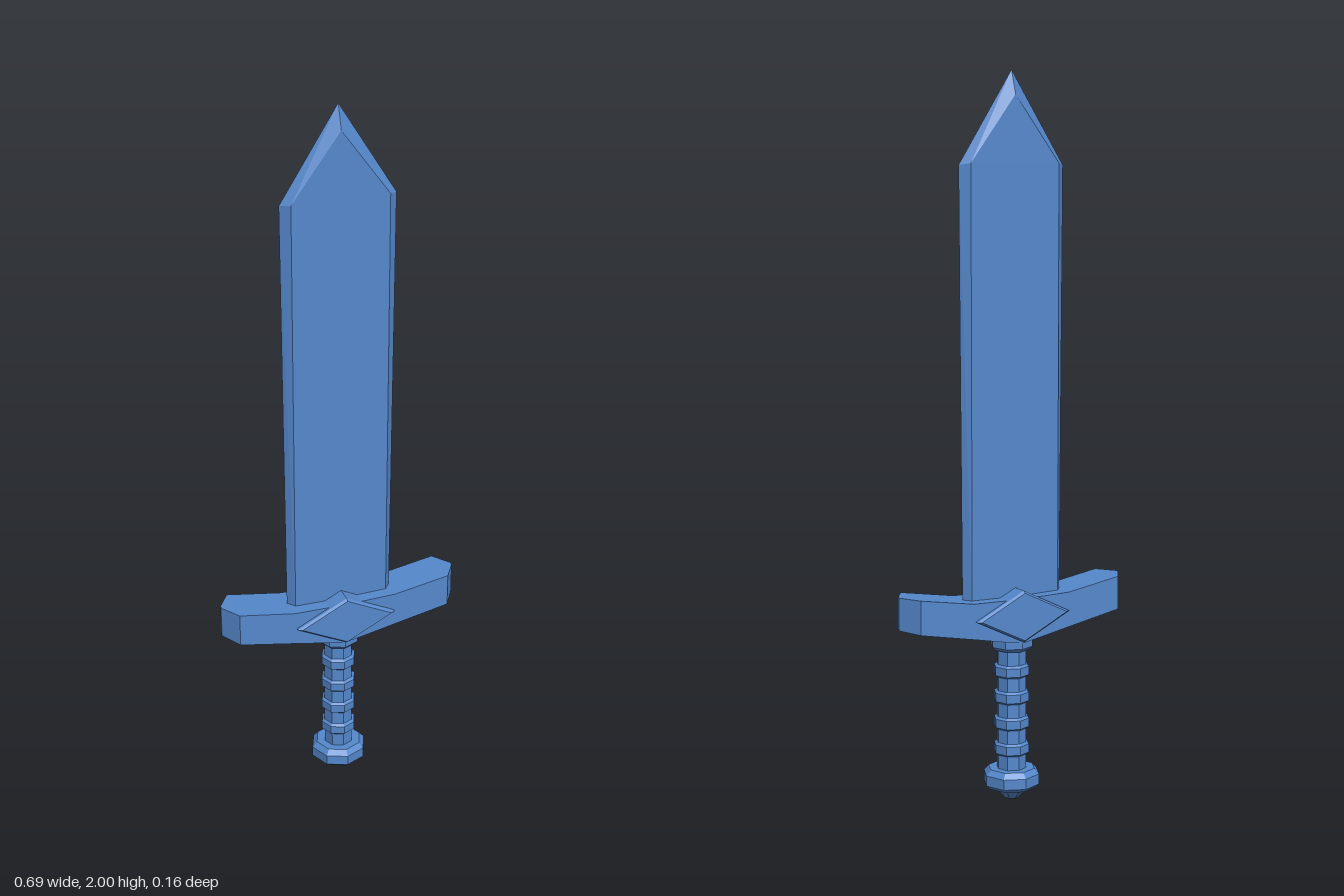
import * as THREE from 'three';

const blue = new THREE.MeshStandardMaterial({ color: 0x5588cc, flatShading: true });

function part(name, geometry) {
  const mesh = new THREE.Mesh(geometry, blue);
  mesh.name = name;
  return mesh;
}

// Closed skin over a list of equal-length rings of [x, y, z] points
function loft(rings) {
  const n = rings[0].length, last = (rings.length - 1) * n, index = [];
  for (let r = 0; r < rings.length - 1; r++) {
    for (let i = 0; i < n; i++) {
      const a = r * n + i, b = r * n + (i + 1) % n;
      index.push(a, a + n, b + n, a, b + n, b);
    }
  }
  for (let i = 1; i < n - 1; i++) {
    index.push(0, i, i + 1, last, last + i + 1, last + i);
  }
  const g = new THREE.BufferGeometry();
  g.setAttribute('position', new THREE.Float32BufferAttribute(rings.flat(2), 3));
  g.setIndex(index);
  g.computeVertexNormals();
  return g;
}

// Eight-sided turned part from [radius, y] pairs, bottom to top
function turned(profile) {
  return new THREE.LatheGeometry(profile.map(([r, y]) => new THREE.Vector2(r, y)), 8);
}

export function createModel() {
  const sword = new THREE.Group();
  sword.name = 'sword';

  // Blade: flat hexagonal section, bevelled edges meeting at the point
  const bladeRing = (edge, face, yEdge, yFace, t = 0.022) => [
    [edge, yEdge, 0], [face, yFace, t], [-face, yFace, t],
    [-edge, yEdge, 0], [-face, yFace, -t], [face, yFace, -t],
  ];
  sword.add(part('blade', loft([
    bladeRing(0.153, 0.135, 0.54, 0.54),
    bladeRing(0.16, 0.135, 1.75, 1.755),
    bladeRing(0, 0, 2, 1.935),
  ])));

  // Crossguard: swept-up arms with wedge-shaped ends; [x, bottom, top, half depth]
  const arm = [[0.06, 0.466, 0.58, 0.06], [0.15, 0.484, 0.582, 0.06],
    [0.31, 0.515, 0.609, 0.06], [0.345, 0.52, 0.61, 0.006]];
  const sections = [
    ...arm.map(([x, ...rest]) => [-x, ...rest]).reverse(),
    [0, 0.455, 0.58, 0.06],
    ...arm,
  ];
  sword.add(part('crossguard', loft(sections.map(([x, lo, hi, d]) =>
    [[x, lo, d], [x, hi, d], [x, hi, -d], [x, lo, -d]]))));

  // Diamond boss through the guard, chamfered front and back
  const diamond = (s, z) => [[0.145 * s, 0.532, z], [0, 0.532 - 0.072 * s, z],
    [-0.145 * s, 0.532, z], [0, 0.532 + 0.072 * s, z]];
  sword.add(part('guardBoss', loft([
    diamond(0.92, -0.075), diamond(1, -0.068), diamond(1, 0.068), diamond(0.92, 0.075),
  ])));

  // Grip with raised bands
  const grip = [[0.042, 0.08]];
  for (const y of [0.147, 0.221, 0.295, 0.369]) {
    grip.push([0.042, y - 0.018], [0.05, y - 0.012], [0.05, y + 0.012], [0.042, y + 0.018]);
  }
  grip.push([0.042, 0.45]);
  sword.add(part('grip', turned(grip)));

  // Collar under the guard
  sword.add(part('collar', turned([[0, 0.428], [0.05, 0.428], [0.06, 0.438], [0.06, 0.47], [0, 0.47]])));

  // Pommel with a small domed foot
  sword.add(part('pommel', turned([[0, 0], [0.02, 0.003], [0.045, 0.03], [0.068, 0.035],
    [0.08, 0.046], [0.08, 0.075], [0.066, 0.09], [0, 0.09]])));

  return sword;
}
